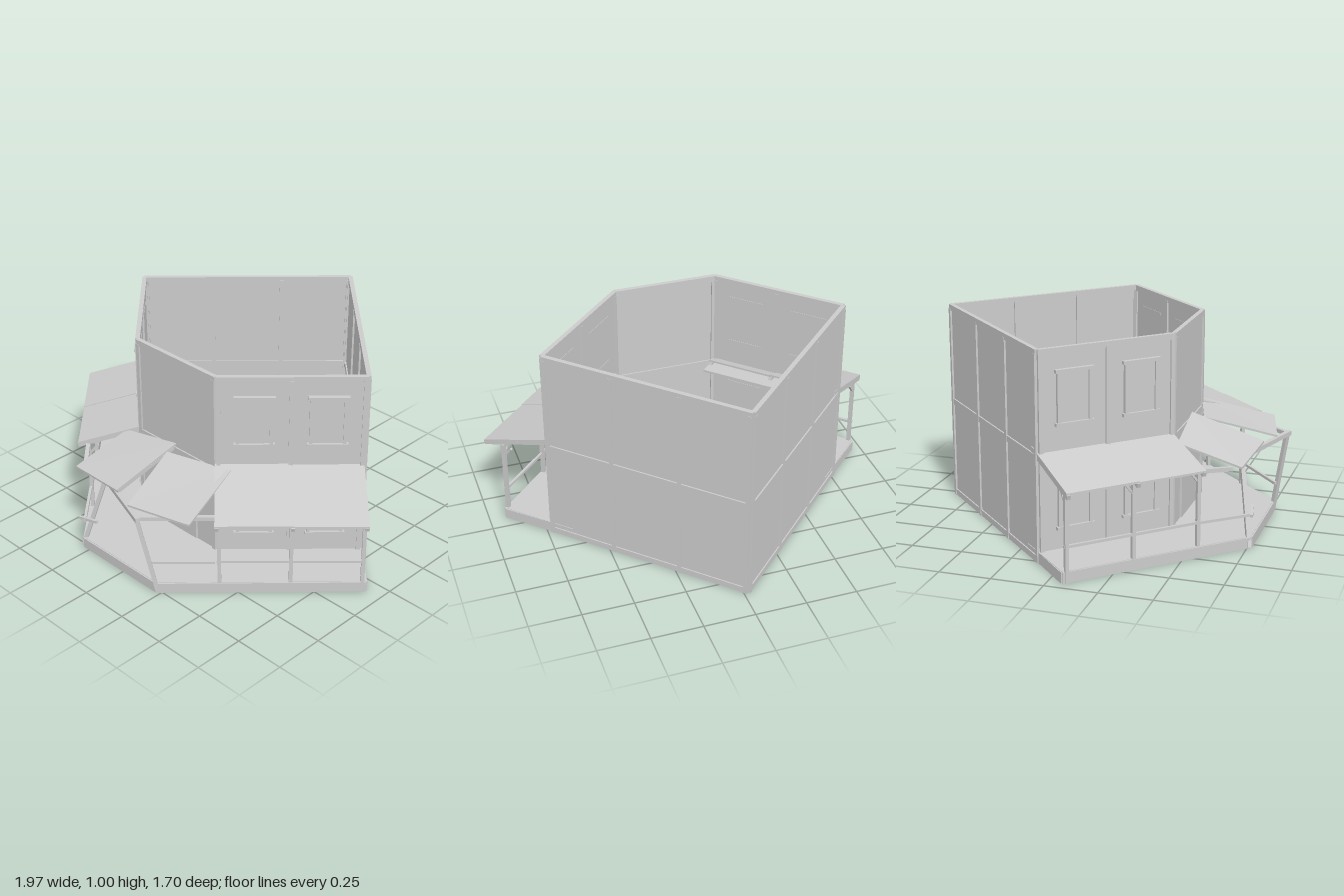
import * as THREE from 'three';

const mat = new THREE.MeshStandardMaterial({ color: 0xcccccc, flatShading: true, side: THREE.DoubleSide });
const V = (x, y, z) => new THREE.Vector3(x, y, z);

function box(parent, name, w, h, d, x, y, z) {
  const m = new THREE.Mesh(new THREE.BoxGeometry(w, h, d), mat);
  m.name = name;
  m.position.set(x, y, z);
  parent.add(m);
  return m;
}

// Square timber between two points
function beam(parent, name, a, b, w = 0.018, h = w) {
  const m = new THREE.Mesh(new THREE.BoxGeometry(w, h, a.distanceTo(b)), mat);
  m.name = name;
  m.position.copy(a).lerp(b, 0.5);
  m.lookAt(b);
  parent.add(m);
  return m;
}

// Thin slab stretched over four corners: back left, back right, front left, front right
function sheet(parent, name, bl, br, fl, fr) {
  const g = new THREE.BoxGeometry(1, 0.01, 1);
  const p = g.attributes.position;
  for (let i = 0; i < p.count; i++) {
    const u = p.getX(i) + 0.5, v = p.getZ(i) + 0.5, y = p.getY(i);
    const q = bl.clone().lerp(br, u).lerp(fl.clone().lerp(fr, u), v);
    p.setXYZ(i, q.x, q.y + y, q.z);
  }
  g.computeVertexNormals();
  const m = new THREE.Mesh(g, mat);
  m.name = name;
  parent.add(m);
}

// Wall frame: local x runs along the wall, local z points outward
function wall(parent, name, a, b, bays) {
  const dx = b[0] - a[0], dz = b[1] - a[1], L = Math.hypot(dx, dz);
  const g = new THREE.Group();
  g.name = name;
  g.position.set(a[0], 0, a[1]);
  g.rotation.y = Math.atan2(-dz, dx);
  parent.add(g);
  box(g, 'wallPanel', L, 0.98, 0.008, L / 2, 0.49, 0);
  box(g, 'sill', L, 0.03, 0.02, L / 2, 0.015, 0);
  box(g, 'middleRail', L, 0.03, 0.022, L / 2, 0.5, 0);
  box(g, 'topRail', L, 0.03, 0.022, L / 2, 0.985, 0);
  for (let i = 0; i <= bays; i++) {
    const x = THREE.MathUtils.clamp((L * i) / bays, 0.01, L - 0.01);
    box(g, 'stud', 0.02, 0.98, 0.026, x, 0.49, 0);
  }
  return { g, L };
}

function windowFrame(parent, x, y) {
  const g = new THREE.Group();
  g.name = 'window';
  g.position.set(x, y, 0.004);
  parent.add(g);
  box(g, 'pane', 0.15, 0.23, 0.01, 0, 0, 0.002);
  for (const s of [-1, 1]) {
    box(g, 'jamb', 0.016, 0.25, 0.024, s * 0.078, 0, 0.004);
    box(g, 'casing', 0.19, 0.016, 0.03, 0, s * 0.123, 0.005);
  }
}

// Windowed wall with its porch posts, rail and sloped roof
function wing(parent, side, a, b, slide) {
  const { g, L } = wall(parent, side + 'Wing', a, b, 2);
  for (const f of [0.255, 0.745]) for (const y of [0.28, 0.77]) windowFrame(g, L * f, y);
  box(g, 'innerLedge', L, 0.012, 0.12, L / 2, 0.505, -0.06);

  const out = 0.258, xs = [0.012, L / 2, L - 0.01];
  xs.forEach((x, i) => {
    box(g, 'porchPost', 0.018, 0.42, 0.018, x, 0.21, out);
    for (const s of [-1, 1]) {
      if ((i === 0 && s < 0) || (i === 2 && s > 0)) continue;
      beam(g, 'brace', V(x, 0.36, out), V(x + s * 0.045, 0.415, out), 0.01);
    }
    beam(g, 'tieBrace', V(x, 0.36, out), V(x, 0.415, out - 0.045), 0.01);
  });
  box(g, 'eaveBeam', L, 0.022, 0.018, L / 2, 0.418, out);
  beam(g, 'handRail', V(0, 0.17, out), V(L, 0.167, out), 0.013);

  // Two roof sheets carried on rafters
  const zi = slide, zo = slide + 0.37, yi = 0.538, yo = 0.43;
  const mid = L / 2;
  sheet(g, 'roofSheet', V(-0.008, yi, zi), V(mid + 0.004, yi, zi), V(-0.008, yo, zo), V(mid + 0.004, yo, zo));
  sheet(g, 'roofSheet', V(mid - 0.002, yi - 0.004, zi), V(L, yi - 0.004, zi), V(mid - 0.002, yo - 0.004, zo), V(L, yo - 0.004, zo));
  for (const x of [0.002, mid, L - 0.01]) {
    beam(g, 'rafter', V(x, yi - 0.016, zi), V(x, yo - 0.016, zo), 0.018, 0.022);
  }
  beam(g, 'purlin', V(0, 0.47, zi + 0.18), V(L, 0.47, zi + 0.18), 0.012);
}

export function createModel() {
  const model = new THREE.Group();
  model.name = 'cornerBuilding';

  // Footprint corners (x, z)
  const W = [-0.765, -0.105], FL = [-0.28, 0.38], FR = [0.24, 0.38], E = [0.725, -0.105], B = [-0.02, -0.845];
  wing(model, 'right', W, FL, -0.06);
  wing(model, 'left', FR, E, -0.01);
  wall(model, 'backLeftWall', E, B, 3);
  wall(model, 'backRightWall', B, W, 3);

  // Corner front with a door
  const { g: front, L } = wall(model, 'cornerFront', FL, FR, 1);
  const door = new THREE.Group();
  door.name = 'door';
  door.position.set(L / 2 - 0.003, 0, 0.008);
  front.add(door);
  box(door, 'doorLeaf', 0.27, 0.35, 0.014, 0, 0.235, 0);
  box(door, 'doorHandle', 0.008, 0.04, 0.012, 0.245, 0.39, 0.005);

  // Porch deck, wrapping the front and reaching a little inside the wings
  const pts = [[-0.95, 0.07], [-0.285, 0.765], [0.23, 0.765], [0.915, 0.075], [0.73, -0.11],
    [0.645, -0.195], [0.1, 0.36], [-0.13, 0.36], [-0.685, -0.195]];
  const shape = new THREE.Shape(pts.map(p => new THREE.Vector2(p[0], p[1])));
  const deckGeo = new THREE.ExtrudeGeometry(shape, { depth: 0.014, bevelEnabled: false });
  deckGeo.rotateX(Math.PI / 2);
  const deck = new THREE.Mesh(deckGeo, mat);
  deck.name = 'deck';
  deck.position.y = 0.054;
  model.add(deck);
  const rim = [W, ...pts.slice(0, 4), E];
  for (let i = 0; i < rim.length - 1; i++) {
    const [p, q] = [rim[i], rim[i + 1]];
    beam(model, 'deckRim', V(p[0], 0.026, p[1]), V(q[0], 0.026, q[1]), 0.014, 0.052);
  }

  // Leaning front posts and the crooked beams they hold
  const topR = V(-0.19, 0.405, 0.69), topL = V(0.18, 0.425, 0.83);
  beam(model, 'leaningPost', V(-0.3, 0.005, 0.76), topR, 0.02);
  beam(model, 'leaningPost', V(0.23, 0.005, 0.76), topL, 0.02);
  beam(model, 'frontBeam', V(-0.23, 0.405, 0.675), V(0.2, 0.425, 0.838), 0.022);
  beam(model, 'slantedBeam', V(0.42, 0.415, 0.57), topL, 0.02);
  beam(model, 'slantedBeam', V(-0.47, 0.415, 0.56), V(-0.35, 0.4, 0.68), 0.02);
  beam(model, 'brokenRail', V(-0.47, 0.167, 0.56), V(-0.27, 0.16, 0.77), 0.013);
  beam(model, 'brokenRail', V(-0.31, 0.165, 0.77), V(-0.2, 0.178, 0.75), 0.013);
  beam(model, 'brokenRail', V(0.42, 0.167, 0.57), V(0.19, 0.158, 0.78), 0.013);

  // Two slipped roof sheets over the entrance
  sheet(model, 'slippedRoof', V(-0.34, 0.49, 0.42), V(-0.01, 0.545, 0.4), V(-0.36, 0.41, 0.73), V(-0.03, 0.44, 0.76));
  sheet(model, 'slippedRoof', V(-0.01, 0.525, 0.46), V(0.32, 0.525, 0.365), V(0.09, 0.435, 0.8), V(0.41, 0.44, 0.72));
  beam(model, 'slippedRafter', V(-0.02, 0.525, 0.41), V(-0.04, 0.428, 0.75), 0.016);
  return model;
}
